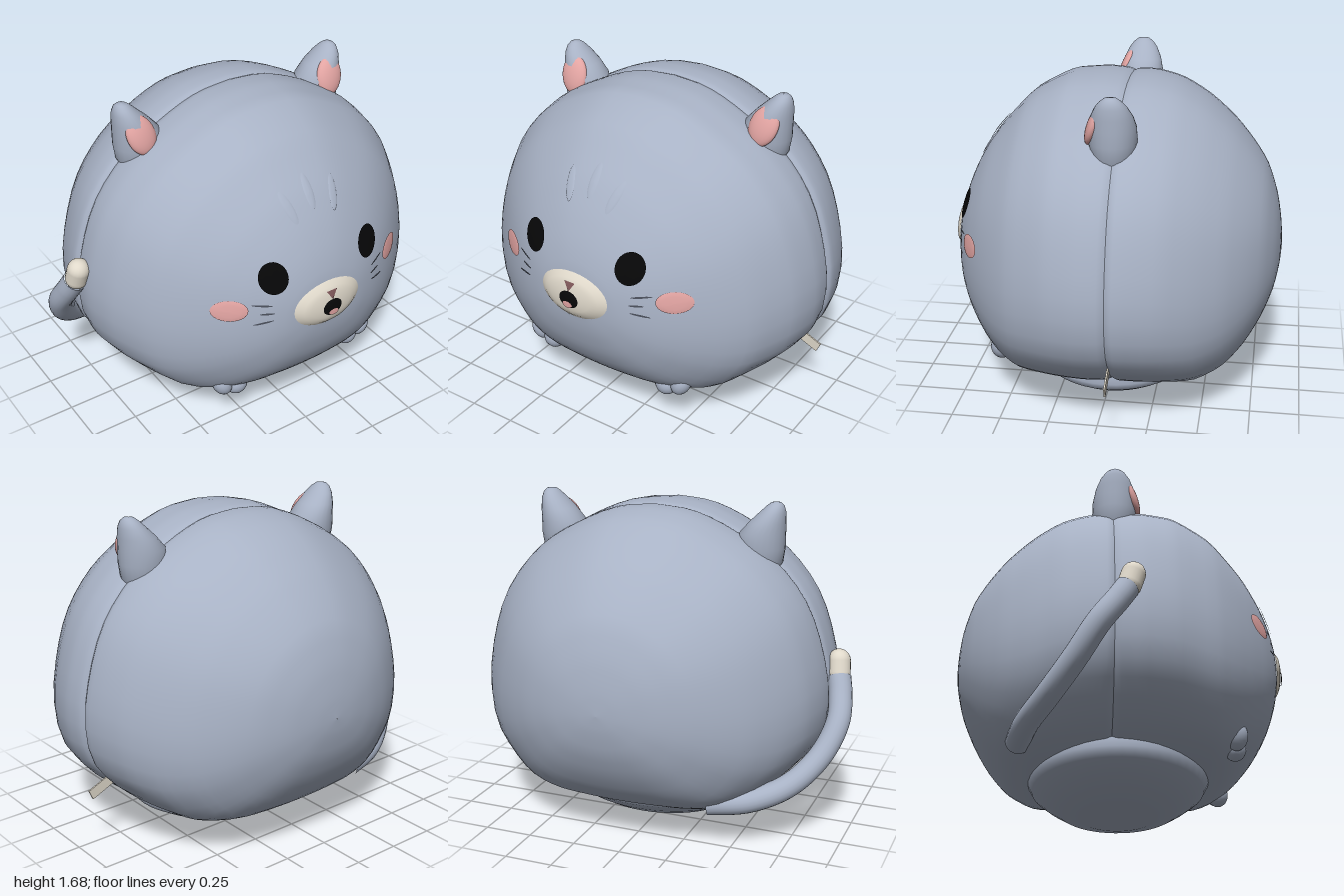
import * as THREE from 'three';

const CX = 0.055; // symmetry axis of the body

function material(name, color) {
  const m = new THREE.MeshStandardMaterial({ color });
  m.name = name;
  return m;
}

// Skin a list of closed rings (arrays of Vector3)
function loft(rings, flip = false) {
  const n = rings[0].length, index = [];
  for (let i = 0; i < rings.length - 1; i++) {
    for (let j = 0; j < n; j++) {
      const a = i * n + j, b = i * n + (j + 1) % n, c = a + n, d = b + n;
      if (flip) index.push(a, b, c, b, d, c);
      else index.push(a, c, b, b, c, d);
    }
  }
  const geo = new THREE.BufferGeometry().setFromPoints(rings.flat());
  geo.setIndex(index);
  geo.computeVertexNormals();
  return geo;
}

// Body cross-section: half width 0..1, height 0..1, mirrored to a full ring
function bodyOutline() {
  const half = [[0, 1], [0.21, 0.986], [0.446, 0.925], [0.69, 0.824], [0.87, 0.681], [0.966, 0.508],
    [1, 0.36], [0.97, 0.224], [0.87, 0.128], [0.72, 0.042], [0.53, 0.004], [0.25, 0], [0, 0]];
  const pts = new THREE.CatmullRomCurve3(half.map(([x, y]) => new THREE.Vector3(x, y, 0))).getSpacedPoints(32);
  const mirrored = pts.slice(1, -1).reverse().map(p => new THREE.Vector3(-p.x, p.y, 0));
  return [...pts, ...mirrored];
}

// Rows: z, half width, bottom y, top y; small rings become rounder
function bodyHalf(rows, flip) {
  const outline = bodyOutline();
  const curve = k => new THREE.CatmullRomCurve3(
    rows.map(r => new THREE.Vector3(r[0], r[1], r[k])), false, 'catmullrom', 0.4);
  const low = curve(2), high = curve(3), steps = (rows.length - 1) * 3, rings = [];
  for (let i = 0; i <= steps; i++) {
    const a = low.getPoint(i / steps), top = high.getPoint(i / steps).z;
    const round = 0.6 * Math.max(0, 1 - a.y / 0.942);
    rings.push(outline.map((p, j) => {
      const t = j / outline.length * Math.PI * 2;
      const u = THREE.MathUtils.lerp(p.x, Math.sin(t), round);
      const v = THREE.MathUtils.lerp(p.y, 0.5 + 0.5 * Math.cos(t), round);
      return new THREE.Vector3(CX + u * a.y, a.z + v * (top - a.z), a.x);
    }));
  }
  return loft(rings, flip);
}

export function createModel() {
  const model = new THREE.Group();
  model.name = 'plushCat';
  const grey = material('greyPlush', 0xa8b2c5);
  const pink = material('pinkFelt', 0xe2a4a2);
  const cream = material('creamPlush', 0xe0d9cb);
  const black = material('blackThread', 0x070708);
  const brown = material('noseBrown', 0x80585a);
  const dark = material('whiskerGrey', 0x4a4f5b);

  const add = (name, geo, mat, pos = [0, 0, 0], rotZ = 0, scale = [1, 1, 1]) => {
    const mesh = new THREE.Mesh(geo, mat);
    mesh.name = name;
    mesh.position.set(...pos);
    mesh.rotation.z = rotZ;
    mesh.scale.set(...scale);
    model.add(mesh);
    return mesh;
  };

  // Body: two padded halves meeting at a sunken seam
  const front = add('bodyFront', bodyHalf([
    [-0.07, 0.916, 0.2, 1.628], [-0.035, 0.934, 0.192, 1.64], [0.06, 0.941, 0.188, 1.647],
    [0.15, 0.926, 0.184, 1.64], [0.25, 0.895, 0.178, 1.625], [0.42, 0.802, 0.165, 1.535],
    [0.53, 0.7, 0.195, 1.425], [0.62, 0.59, 0.255, 1.32], [0.7, 0.468, 0.345, 1.19],
    [0.76, 0.342, 0.455, 1.06], [0.8, 0.205, 0.59, 0.925], [0.818, 0.001, 0.739, 0.741]], false), grey);
  add('bodyBack', bodyHalf([
    [-0.07, 0.916, 0.2, 1.628], [-0.105, 0.932, 0.192, 1.638], [-0.2, 0.918, 0.186, 1.635],
    [-0.33, 0.878, 0.176, 1.6], [-0.47, 0.795, 0.162, 1.52], [-0.6, 0.685, 0.205, 1.41],
    [-0.7, 0.56, 0.295, 1.295], [-0.78, 0.425, 0.415, 1.175], [-0.835, 0.275, 0.54, 1.02],
    [-0.862, 0.13, 0.66, 0.87], [-0.87, 0.001, 0.749, 0.751]], true), grey);

  // Flattened cushion underneath
  const basePts = [[0, 0], [0.25, 0.002], [0.38, 0.03], [0.47, 0.075], [0.55, 0.125], [0.58, 0.17], [0.56, 0.23]];
  add('baseCushion', new THREE.LatheGeometry(basePts.map(p => new THREE.Vector2(...p)), 48), grey,
    [CX, 0, -0.02], 0, [1, 1, 0.8]);

  // Discs draped over the front of the surfaces listed in "targets"
  const targets = [front];
  const caster = new THREE.Raycaster();
  const surfaceZ = (x, y) => {
    caster.set(new THREE.Vector3(x, y, 5), new THREE.Vector3(0, 0, -1));
    const hit = caster.intersectObjects(targets, false)[0];
    return hit ? hit.point.z : 0.5;
  };
  const patch = (name, mat, x, y, rx, ry, { rot = 0, lift = 0.005, bulge = 0, sides = 32 } = {}) => {
    const geo = new THREE.RingGeometry(0, 1, sides, 5, -Math.PI / 2);
    const p = geo.attributes.position, c = Math.cos(rot), s = Math.sin(rot);
    for (let i = 0; i < p.count; i++) {
      const u = p.getX(i), v = p.getY(i);
      const px = x + u * rx * c - v * ry * s, py = y + u * rx * s + v * ry * c;
      const dome = bulge * Math.sqrt(Math.max(0, 1 - u * u - v * v));
      p.setXYZ(i, px, py, surfaceZ(px, py) + lift + dome);
    }
    geo.computeVertexNormals();
    return add(name, geo, mat);
  };

  // Features mirrored on both sides
  for (const s of [-1, 1]) {
    const side = s > 0 ? 'left' : 'right';
    const X = d => CX + s * d;
    patch(side + 'Eye', black, X(0.284), 1.0, 0.071, 0.079, { lift: 0.008 });
    patch(side + 'Cheek', pink, X(0.492), 0.852, 0.078, 0.056, { lift: 0.007, bulge: 0.005 });
    patch(side + 'ForeheadStripe', grey, X(0.131), 1.285, 0.024, 0.074, { rot: -s * 0.3, lift: 0.006, bulge: 0.004 });
    [[0.35, 0.868, -0.17], [0.33, 0.82, -0.08], [0.35, 0.772, 0.13]].forEach(([d, y, tilt], i) =>
      patch(side + 'Whisker' + (i + 1), dark, X(d), y, i === 1 ? 0.036 : 0.05, 0.005, { rot: -s * tilt, lift: 0.004, sides: 12 }));

    // Ear: stacked ellipses with an upright outer edge (y, inner offset, outer offset, half depth)
    const earRows = [[1.32, 0.44, 0.63, 0.085], [1.38, 0.425, 0.658, 0.105], [1.45, 0.422, 0.668, 0.116],
      [1.52, 0.435, 0.668, 0.114], [1.58, 0.488, 0.669, 0.1], [1.63, 0.54, 0.667, 0.076],
      [1.66, 0.572, 0.659, 0.052], [1.676, 0.593, 0.645, 0.03], [1.681, 0.619, 0.621, 0.001]];
    add(side + 'Ear', loft(earRows.map(([y, inner, outer, hz]) => Array.from({ length: 24 }, (_, j) => {
      const a = j / 24 * Math.PI * 2;
      return new THREE.Vector3(X((inner + outer) / 2) + (outer - inner) / 2 * Math.cos(a), y, -0.06 + hz * Math.sin(a));
    }))), grey);
    const inner = add(side + 'InnerEar', new THREE.SphereGeometry(1, 24, 16), pink,
      [X(0.567), 1.53, 0.024], -s * 0.25, [0.076, 0.103, 0.035]);
    inner.rotation.x = -0.35;

    // Paw: two overlapping lobes
    [[0.448, 0.275, 0.05, 0.07, -0.45], [0.36, 0.243, 0.06, 0.062, 0.4]].forEach(([d, y, rx, ry, tilt], i) =>
      add(side + 'PawLobe' + (i + 1), new THREE.SphereGeometry(1, 20, 14), grey,
        [X(d), y, surfaceZ(X(d), y) - 0.025], s * tilt, [rx, ry, 0.055]));
  }
  patch('middleForeheadStripe', grey, 0.052, 1.327, 0.024, 0.074, { lift: 0.006, bulge: 0.004 });

  // Muzzle, mouth, tongue and nose
  const muzzle = patch('muzzle', cream, 0.052, 0.792, 0.196, 0.124, { lift: 0.003, bulge: 0.033 });
  targets.push(muzzle);
  patch('mouth', black, 0.052, 0.785, 0.055, 0.045, { lift: 0.004, bulge: 0.008 });
  patch('tongue', pink, 0.052, 0.763, 0.029, 0.017, { lift: 0.013, sides: 20 });
  patch('nose', brown, 0.052, 0.862, 0.036, 0.032, { lift: 0.006, sides: 3 });

  // Tail curling round the right side, with a pale tip
  const tailPath = new THREE.CatmullRomCurve3([
    [-0.38, 0.23, -0.52], [-0.58, 0.255, -0.47], [-0.755, 0.325, -0.37], [-0.88, 0.455, -0.25],
    [-0.938, 0.61, -0.145], [-0.925, 0.73, -0.06], [-0.905, 0.805, -0.015]].map(p => new THREE.Vector3(...p)));
  add('tail', new THREE.TubeGeometry(tailPath, 48, 0.06, 20), grey);
  const tip = add('tailTip', new THREE.CapsuleGeometry(0.059, 0.06, 8, 20), cream, [-0.897, 0.852, 0.005], -0.1);
  tip.rotation.x = 0.3;

  // Sewn-in fabric tag at the seam
  add('seamTag', new THREE.BoxGeometry(0.15, 0.055, 0.008), cream, [0.89, 0.342, -0.07], -0.42);

  return model;
}
